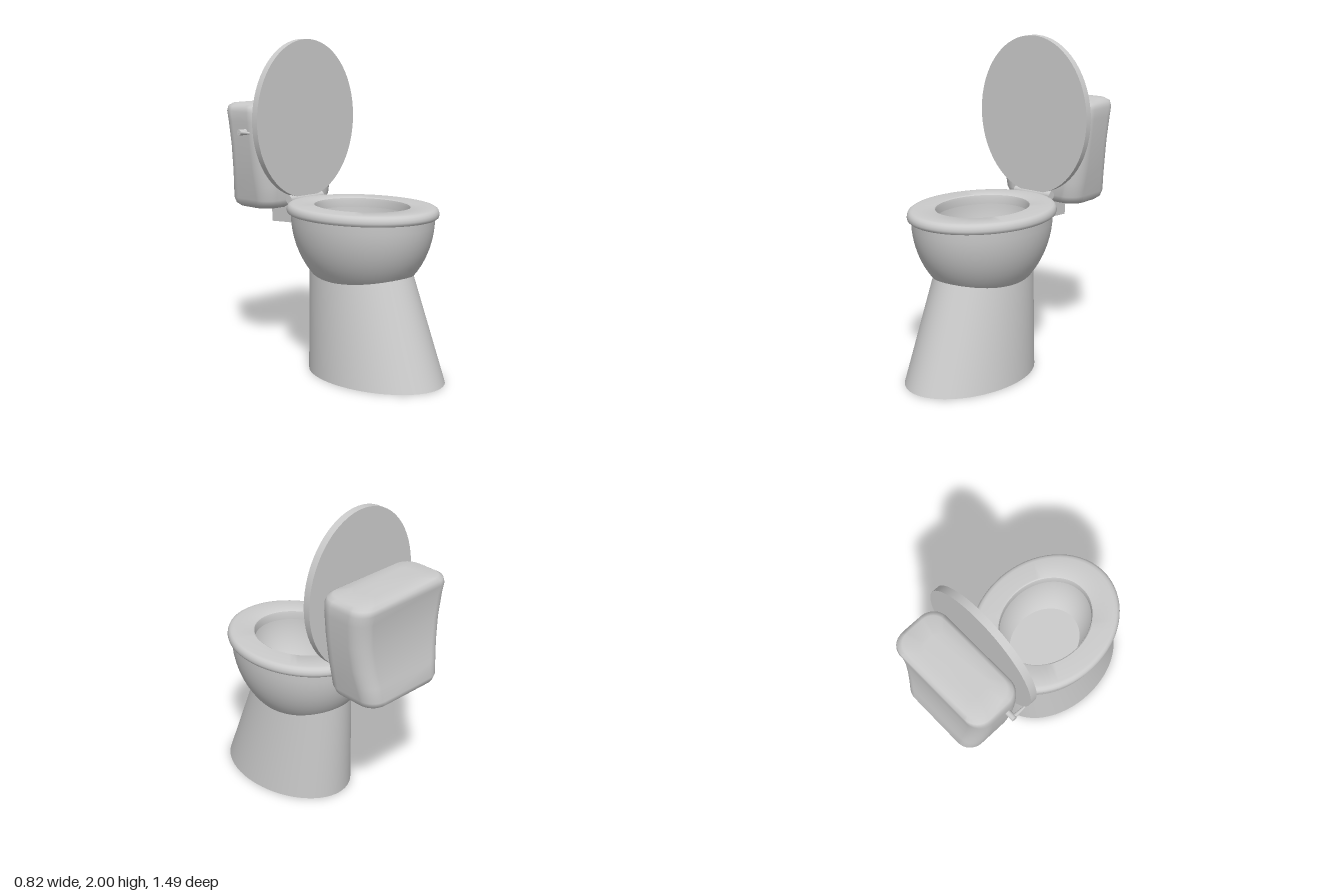
import * as THREE from 'three';
import { toCreasedNormals } from 'three/addons/utils/BufferGeometryUtils.js';

const material = new THREE.MeshStandardMaterial({ color: 0xcccccc });
const BOWL_Z = 0.156;

function addPart(group, name, geometry, x = 0, y = 0, z = 0) {
  const mesh = new THREE.Mesh(geometry, material);
  mesh.name = name;
  mesh.position.set(x, y, z);
  group.add(mesh);
  return mesh;
}

// Turned profile stretched into an oval
function ovalLathe(points, rx, rz) {
  const geo = new THREE.LatheGeometry(points.map(([r, y]) => new THREE.Vector2(r, y)), 64);
  return toCreasedNormals(geo.scale(rx, 1, rz), 0.6);
}

// Smooth skin over rounded-rectangle sections [y, halfWidth, zFront, zBack]
function loftTank(sections) {
  const steps = 8, n = 4 * (steps + 1), pos = [], index = [];
  for (const [y, hw, zf, zb] of sections) {
    const hd = (zf - zb) / 2, cz = (zf + zb) / 2, r = Math.min(0.1, hd * 0.6);
    for (let c = 0; c < 4; c++) {
      const sx = c === 0 || c === 3 ? 1 : -1, sz = c < 2 ? 1 : -1;
      for (let i = 0; i <= steps; i++) {
        const a = (c + i / steps) * Math.PI / 2;
        pos.push(sx * (hw - r) + r * Math.cos(a), y, cz + sz * (hd - r) + r * Math.sin(a));
      }
    }
  }
  const rings = sections.length;
  for (let j = 0; j < rings - 1; j++) {
    for (let i = 0; i < n; i++) {
      const a = j * n + i, b = j * n + (i + 1) % n;
      index.push(a, a + n, b, b, a + n, b + n);
    }
  }
  // End caps
  const top = (rings - 1) * n;
  for (let i = 1; i < n - 1; i++) {
    index.push(0, i, i + 1, top, top + i + 1, top + i);
  }
  const geo = new THREE.BufferGeometry();
  geo.setAttribute('position', new THREE.Float32BufferAttribute(pos, 3));
  geo.setIndex(index);
  geo.computeVertexNormals();
  return geo;
}

export function createModel() {
  const group = new THREE.Group();
  group.name = 'toilet';

  // Pedestal: oval column leaning back towards the bowl
  const pedestal = new THREE.CylinderGeometry(1, 1, 0.66, 64, 1).translate(0, 0.33, 0);
  const p = pedestal.attributes.position;
  for (let i = 0; i < p.count; i++) {
    const t = p.getY(i) / 0.66, lerp = THREE.MathUtils.lerp;
    p.setX(i, p.getX(i) * lerp(0.325, 0.253, t));
    p.setZ(i, p.getZ(i) * lerp(0.4725, 0.352, t) + lerp(0.2725, 0.137, t));
  }
  addPart(group, 'pedestal', toCreasedNormals(pedestal, 0.6));

  // Bowl: half-ellipsoid outside, hollow inside, with a drain well
  const profile = [];
  for (let i = 0; i <= 16; i++) {
    const a = i / 16 * Math.PI / 2;
    profile.push([Math.sin(a), 0.967 - 0.51 * Math.cos(a)]);
  }
  const drain = 0.18, inner = 0.76, depth = 0.42;
  const end = Math.asin(drain / inner);
  for (let i = 0; i <= 14; i++) {
    const a = THREE.MathUtils.lerp(Math.PI / 2, end, i / 14);
    profile.push([inner * Math.sin(a), 0.967 - depth * Math.cos(a)]);
  }
  profile.push([drain, 0.49], [0, 0.49]);
  addPart(group, 'bowl', ovalLathe(profile, 0.39, 0.468), 0, 0, BOWL_Z);

  // Seat ring
  addPart(group, 'seat', ovalLathe([
    [0.62, 0.965], [0.975, 0.965], [0.992, 0.972], [1, 0.985], [0.995, 1], [0.98, 1.014],
    [0.955, 1.022], [0.92, 1.025], [0.645, 1.025], [0.628, 1.02], [0.62, 1.005], [0.62, 0.965],
  ], 0.41, 0.498), 0, 0, BOWL_Z);

  // Raised lid and its hinge
  const lid = new THREE.CylinderGeometry(1, 1, 0.045, 64).rotateX(Math.PI / 2).scale(0.41, 0.49, 1);
  addPart(group, 'lid', lid, 0, 1.51, -0.343);
  addPart(group, 'hinge', new THREE.CylinderGeometry(0.026, 0.026, 0.28, 20).rotateZ(Math.PI / 2), 0, 1.015, -0.34);

  // Duct from the bowl to the tank
  const duct = addPart(group, 'tankDuct', new THREE.BoxGeometry(0.2, 0.12, 0.29), 0, 0.922, -0.395);
  duct.rotation.x = -0.06;

  // Tank: wider at the top, with a hollowed back
  addPart(group, 'tank', loftTank([
    [0.95, 0.2, -0.48, -0.66], [0.956, 0.255, -0.425, -0.715], [0.975, 0.28, -0.387, -0.738],
    [1.01, 0.29, -0.371, -0.748], [1.1, 0.306, -0.37, -0.73], [1.2, 0.325, -0.37, -0.712],
    [1.35, 0.345, -0.37, -0.7], [1.5, 0.36, -0.372, -0.708], [1.56, 0.361, -0.375, -0.72],
    [1.592, 0.352, -0.385, -0.717], [1.608, 0.325, -0.41, -0.695], [1.615, 0.22, -0.47, -0.63],
  ]));

  // Flush lever on the right side of the tank
  const lever = new THREE.Group();
  lever.name = 'flushLever';
  lever.position.set(0, 1.44, -0.49);
  addPart(lever, 'leverShaft', new THREE.CylinderGeometry(0.018, 0.018, 0.08, 16).rotateZ(Math.PI / 2), -0.37);
  const handle = new THREE.CylinderGeometry(0.007, 0.014, 0.09, 12).rotateX(Math.PI / 2);
  addPart(lever, 'leverHandle', handle, -0.397, 0, 0.045);
  group.add(lever);

  return group;
}
